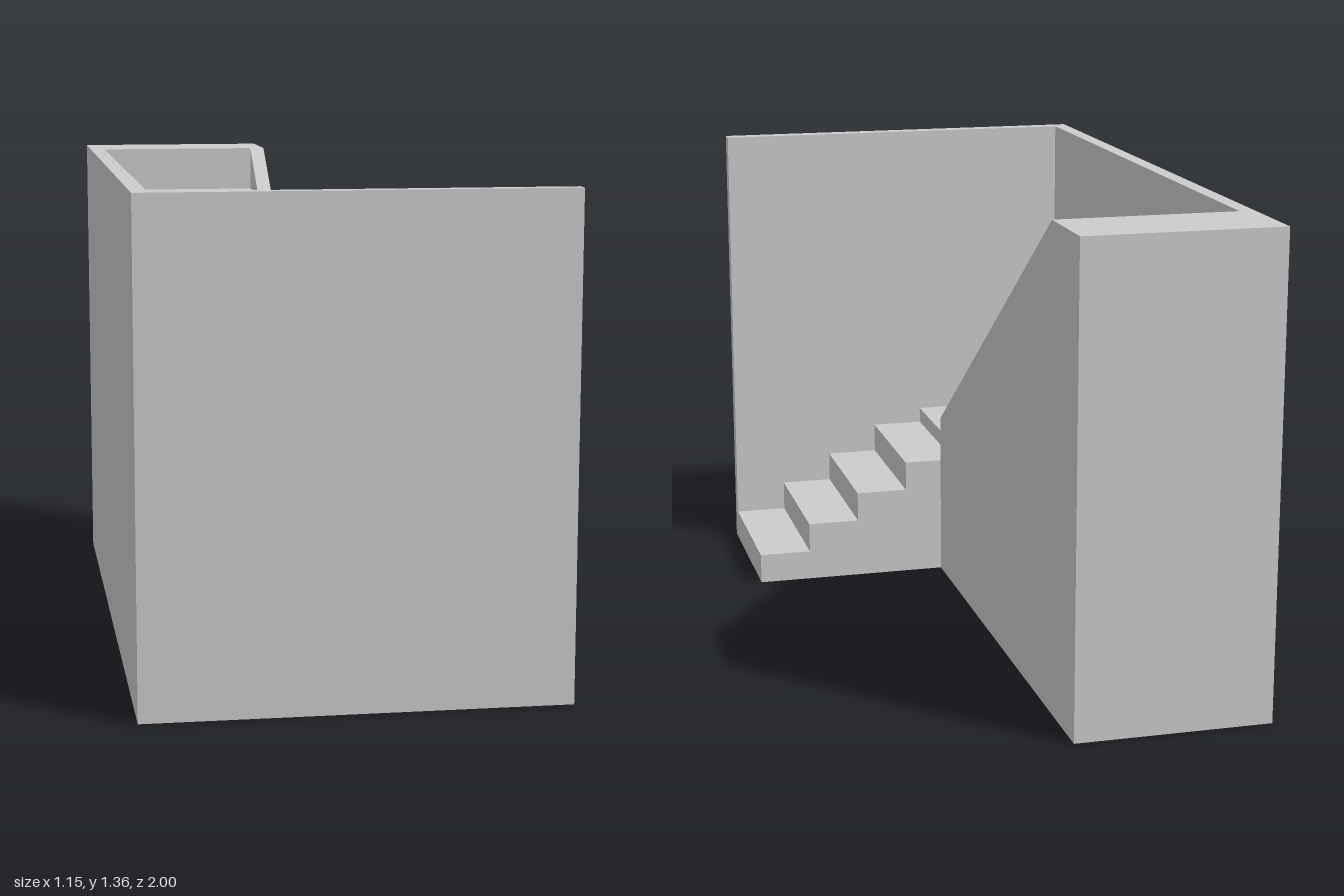
import * as THREE from 'three';

const H = 1.355;          // overall height
const X = 0.573;          // half width
const T = 0.043;          // wall thickness
const RISE = 0.0905;      // step height
const LANDING = 0.41;     // landing height
const CORNER = 0.48;      // z where the two flights meet
const TOP_Z = -0.755;     // z of the last riser
const INNER_X = -0.015;   // outer face of the sloped parapet

const material = new THREE.MeshStandardMaterial({ color: 0xcccccc, flatShading: true });

function extrude(points, depth) {
  const shape = new THREE.Shape(points.map(([a, b]) => new THREE.Vector2(a, b)));
  return new THREE.ExtrudeGeometry(shape, { depth, bevelEnabled: false });
}

// Profile drawn in (z, y), running from xMin to xMax
function extrudeAlongX(points, xMin, xMax) {
  return extrude(points, xMax - xMin).rotateY(-Math.PI / 2).translate(xMax, 0, 0);
}

export function createModel() {
  const group = new THREE.Group();
  const add = (name, geometry) => {
    const mesh = new THREE.Mesh(geometry, material);
    mesh.name = name;
    group.add(mesh);
  };

  // Front wall, side wall and upper platform share one footprint in (x, z)
  const footprint = [
    [-X, -1], [INNER_X, -1], [INNER_X, TOP_Z], [-X + T, TOP_Z],
    [-X + T, 1 - T], [X, 1 - T], [X, 1], [-X, 1],
  ];
  add('wallsAndPlatform', extrude(footprint, H).rotateX(Math.PI / 2).translate(0, H, 0));

  // Lower flight climbs towards -x and ends in the landing
  const lowerRun = (X - (INNER_X - T)) / 4;
  const lower = [[-X + T, 0], [X, 0]];
  for (let i = 0; i < 4; i++) {
    const y = (i + 1) * RISE;
    lower.push([X - i * lowerRun, y], [X - (i + 1) * lowerRun, y]);
  }
  lower.push([INNER_X - T, LANDING], [-X + T, LANDING]);
  add('lowerFlightAndLanding', extrude(lower, 1 - T - CORNER).translate(0, 0, CORNER));

  // Upper flight climbs towards -z up to the platform
  const upperRun = (CORNER - TOP_Z) / 9;
  const upper = [[TOP_Z, 0], [CORNER, 0]];
  for (let i = 0; i < 9; i++) {
    const y = LANDING + (i + 1) * RISE;
    upper.push([CORNER - i * upperRun, y], [CORNER - (i + 1) * upperRun, y]);
  }
  add('upperFlight', extrudeAlongX(upper, -X + T, INNER_X - T));

  // Sloped parapet on the open side of the upper flight
  const parapet = [[TOP_Z, 0], [CORNER, 0], [CORNER, 0.502], [TOP_Z, H]];
  add('slopedParapet', extrudeAlongX(parapet, INNER_X - T, INNER_X));

  return group;
}
